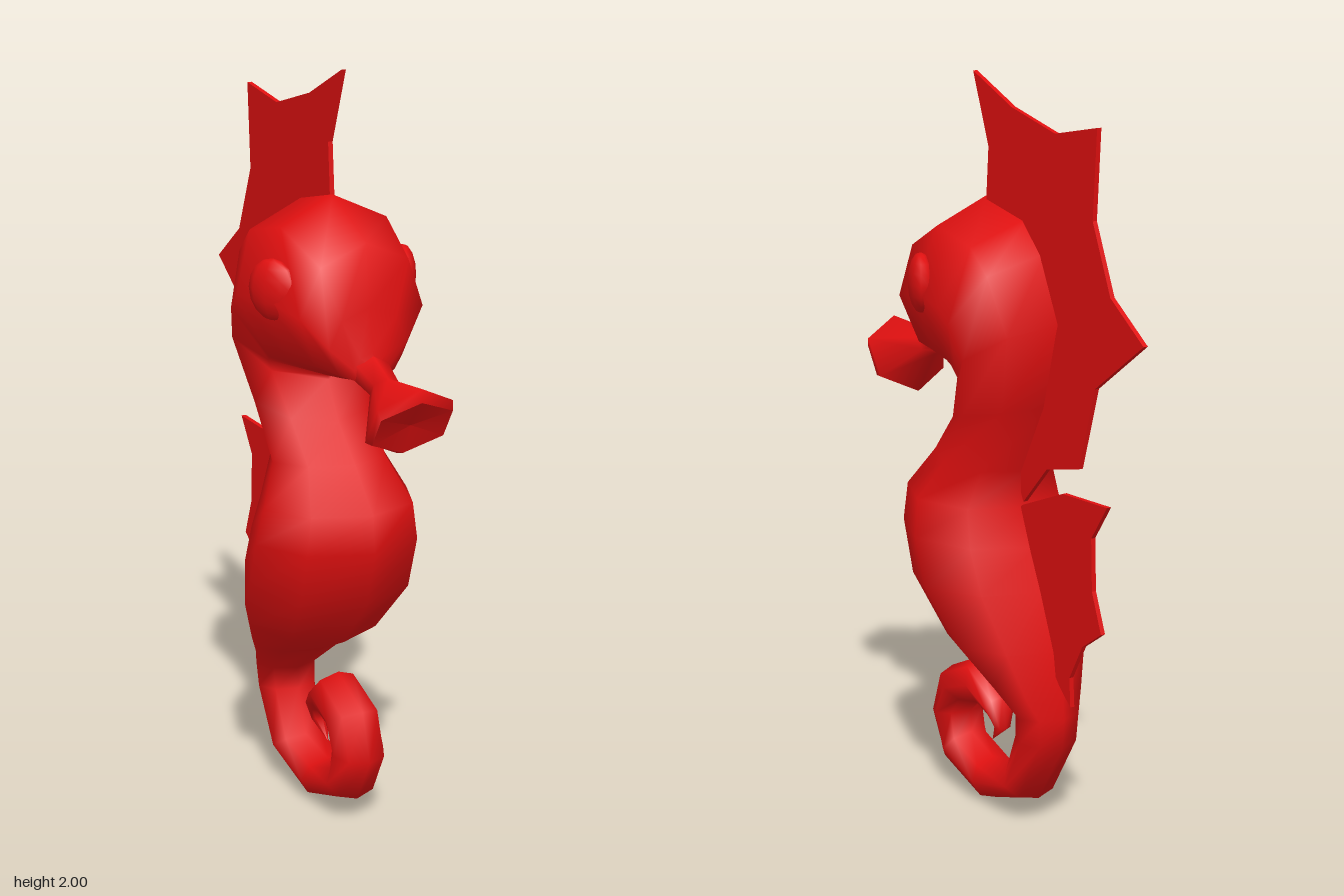
import * as THREE from 'three';

const red = new THREE.MeshStandardMaterial({ color: 0xe01010 });

// Skin over rings. Each section: [outer z, outer y, inner z, inner y, half width]
function loft(sections, sides) {
  const pos = [], index = [];
  for (const [oz, oy, iz, iy, w] of sections) {
    for (let i = 0; i < sides; i++) {
      const a = (i / sides) * Math.PI * 2, t = (1 - Math.cos(a)) / 2;
      const s = Math.sin(a) / (sides === 6 ? Math.sin(Math.PI / 3) : 1);
      pos.push(w * s, oy + (iy - oy) * t, oz + (iz - oz) * t);
    }
  }
  for (let j = 0; j < sections.length - 1; j++) {
    for (let i = 0; i < sides; i++) {
      const k = (i + 1) % sides, a = j * sides, b = a + sides;
      index.push(a + i, a + k, b + k, a + i, b + k, b + i);
    }
  }
  const g = new THREE.BufferGeometry();
  g.setAttribute('position', new THREE.Float32BufferAttribute(pos, 3));
  g.setIndex(index);
  g.computeVertexNormals();
  return g;
}

// Thin plate in the middle plane, outlined by (z, y) points
function fin(points) {
  const shape = new THREE.Shape(points.map(([z, y]) => new THREE.Vector2(z, y)));
  const g = new THREE.ExtrudeGeometry(shape, { depth: 0.013, bevelEnabled: false });
  return g.rotateY(-Math.PI / 2).translate(0.013, 0, 0);
}

export function createModel() {
  const model = new THREE.Group();
  const add = (name, geometry) => {
    const mesh = new THREE.Mesh(geometry, red);
    mesh.name = name;
    model.add(mesh);
    return mesh;
  };

  // Head, neck, belly and curled tail in one skin
  add('body', loft([
    [0.34, 1.27, 0.34, 1.27, 0],
    [0.33, 1.32, 0.32, 1.23, 0.05],
    [0.31, 1.43, 0.30, 1.23, 0.11],
    [0.29, 1.59, 0.25, 1.225, 0.175],
    [0.11, 1.68, 0.16, 1.21, 0.215],
    [-0.07, 1.64, 0.09, 1.20, 0.225],
    [-0.15, 1.56, 0.085, 1.20, 0.22],
    [-0.23, 1.39, 0.09, 1.19, 0.20],
    [-0.17, 1.16, 0.15, 1.09, 0.165],
    [-0.07, 0.97, 0.24, 1.00, 0.16],
    [-0.07, 0.87, 0.34, 0.89, 0.21],
    [-0.11, 0.77, 0.35, 0.79, 0.228],
    [-0.16, 0.66, 0.31, 0.64, 0.225],
    [-0.22, 0.51, 0.18, 0.49, 0.18],
    [-0.24, 0.38, 0.04, 0.42, 0.125],
    [-0.245, 0.33, -0.09, 0.32, 0.09],
    [-0.24, 0.25, -0.085, 0.26, 0.085],
    [-0.13, 0.07, -0.04, 0.14, 0.08],
    [0.07, 0.005, 0.09, 0.12, 0.075],
    [0.26, 0.07, 0.195, 0.16, 0.075],
    [0.33, 0.20, 0.20, 0.22, 0.075],
    [0.29, 0.33, 0.16, 0.26, 0.075],
    [0.15, 0.395, 0.09, 0.27, 0.07],
    [0.04, 0.31, 0.07, 0.25, 0.05],
    [0.025, 0.22, 0.06, 0.225, 0.025],
    [0.09, 0.17, 0.09, 0.17, 0],
  ], 8));

  // Flared snout; the doubled ring keeps the mouth rim sharp
  add('snout', loft([
    [0.525, 1.18, 0.525, 1.18, 0],
    [0.58, 1.25, 0.49, 1.10, 0.1],
    [0.58, 1.25, 0.49, 1.10, 0.1],
    [0.58, 1.285, 0.455, 1.09, 0.105],
    [0.41, 1.27, 0.37, 1.21, 0.035],
    [0.33, 1.31, 0.29, 1.23, 0.045],
    [0.24, 1.36, 0.20, 1.25, 0.06],
  ], 6));

  // Bulging eyes, turned with the sides of the head
  for (const side of [1, -1]) {
    const eye = add(side > 0 ? 'leftEye' : 'rightEye', new THREE.SphereGeometry(1, 10, 8));
    eye.scale.set(0.035, 0.08, 0.075);
    eye.position.set(side * 0.186, 1.46, 0.145);
    eye.rotation.y = -side * 0.42;
  }

  // Crest running from the forehead down the neck
  add('crestFin', fin([
    [0.155, 2], [-0.02, 1.92], [-0.21, 1.87], [-0.385, 1.9], [-0.37, 1.67],
    [-0.445, 1.49], [-0.58, 1.39], [-0.385, 1.25], [-0.32, 1.03], [-0.18, 1.0],
    [-0.075, 0.89], [-0.02, 1.0], [-0.1, 1.2], [-0.13, 1.4], [0, 1.55],
    [0.1, 1.6], [0.095, 1.68], [0.085, 1.81],
  ]));

  // Smaller fin behind the belly
  add('backFin', fin([
    [-0.07, 0.88], [-0.25, 0.95], [-0.44, 0.955], [-0.375, 0.86], [-0.38, 0.72],
    [-0.42, 0.615], [-0.34, 0.56], [-0.285, 0.46], [-0.29, 0.38], [-0.24, 0.425],
    [-0.18, 0.5], [-0.1, 0.65], [-0.03, 0.85],
  ]));

  return model;
}
